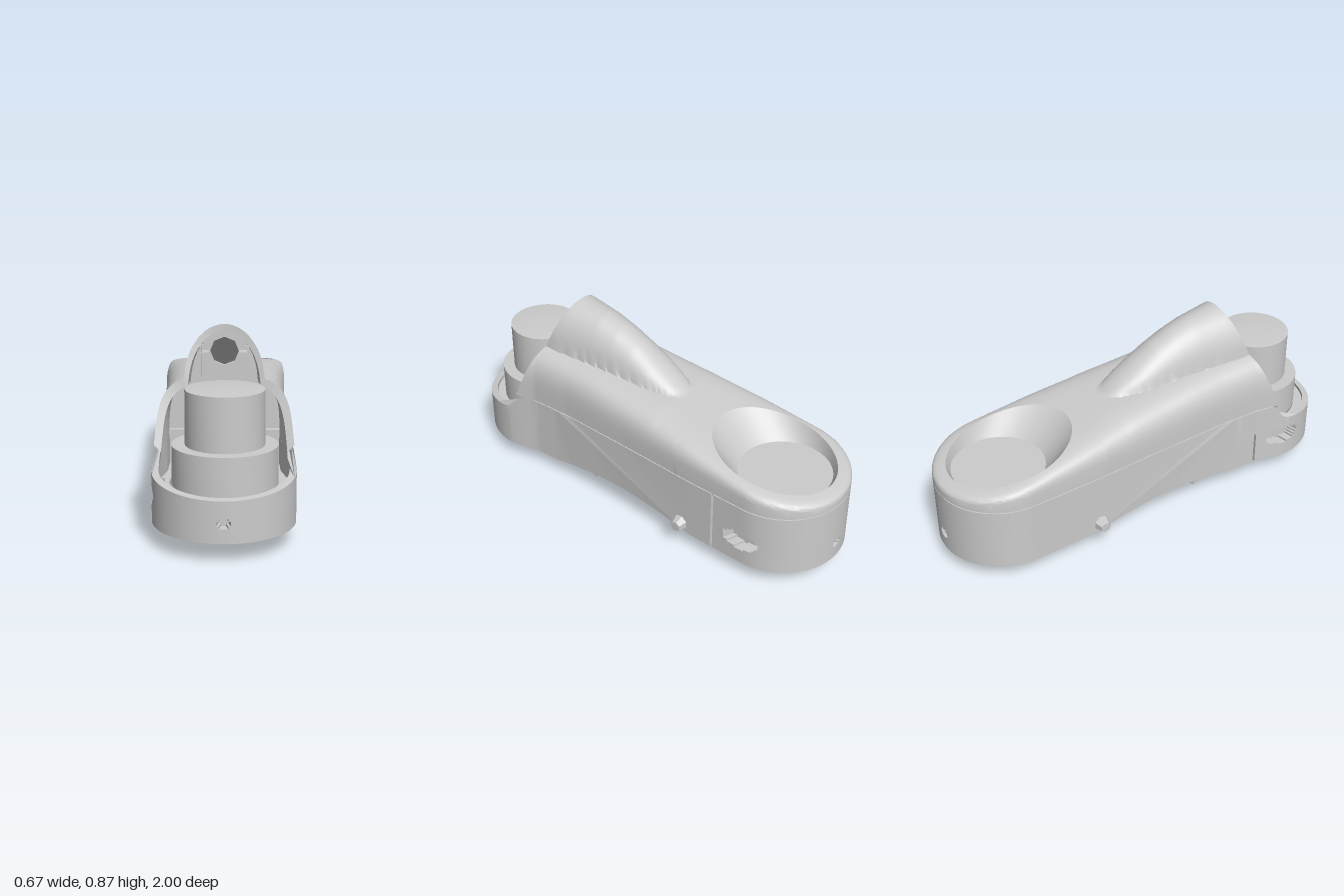
import * as THREE from 'three';
import { toCreasedNormals } from 'three/addons/utils/BufferGeometryUtils.js';

const material = new THREE.MeshStandardMaterial({ color: 0xcccccc, side: THREE.DoubleSide });

// Piecewise linear curve through [position, value] pairs
const curve = (pts) => (t) => {
  if (t <= pts[0][0]) return pts[0][1];
  for (let i = 1; i < pts.length; i++) {
    const [a, va] = pts[i - 1], [b, vb] = pts[i];
    if (t <= b) return va + (vb - va) * (t - a) / (b - a);
  }
  return pts[pts.length - 1][1];
};

const sideWidth = curve([[-0.7, 0.3], [-0.4, 0.295], [0, 0.275], [0.35, 0.262], [0.55, 0.268], [0.65, 0.292], [0.7, 0.3]]);
const halfWidth = (z) => Math.abs(z) > 0.7 ? Math.sqrt(Math.max(0, 0.09 - (Math.abs(z) - 0.7) ** 2)) : sideWidth(z);
const deckY = curve([[-1, 0.445], [-0.9, 0.462], [-0.5, 0.535], [-0.15, 0.6], [0.2, 0.637], [0.6, 0.665]]);
const humpY = curve([[-0.17, 0.597], [-0.1, 0.645], [0, 0.708], [0.1, 0.768], [0.2, 0.812], [0.3, 0.843], [0.46, 0.868]]);
const humpWidth = curve([[-0.17, 0], [-0.155, 0.04], [-0.12, 0.07], [-0.06, 0.095], [0, 0.11], [0.5, 0.168]]);
const roundness = curve([[-0.8, 7], [-0.2, 4.2], [0.6, 4]]);
const rimY = curve([[0.42, 0.385], [0.63, 0.385], [0.66, 0.335], [0.69, 0.308], [0.75, 0.297], [1, 0.26]]);
const SEAM = 0.39;

// How far a point lies towards the edge of the plan: 0 in the middle, 1 at the edge
const edgeness = (x, z) => z < -0.7 ? Math.hypot(x, z + 0.7) / 0.3 : Math.abs(x) / halfWidth(z);

// Height of the cover's outer surface
function coverY(x, z) {
  const n = roundness(z), u = Math.min(1, edgeness(x, z));
  const body = SEAM + (deckY(z) - SEAM) * Math.pow(1 - Math.pow(u, n), 1 / n);
  const a = humpWidth(z);
  if (Math.abs(x) >= a) return body;
  return body + Math.max(0, humpY(z) - deckY(z)) * Math.sqrt(1 - (x / a) ** 2);
}

function add(parent, name, geometry, x = 0, y = 0, z = 0) {
  const mesh = new THREE.Mesh(geometry, material);
  mesh.name = name;
  mesh.position.set(x, y, z);
  parent.add(mesh);
  return mesh;
}

// Surface through rows of points
function loft(rows, crease = 0.6) {
  const n = rows[0].length, index = [];
  for (let r = 0; r < rows.length - 1; r++)
    for (let c = 0; c < n - 1; c++) {
      const a = r * n + c, b = a + n;
      index.push(a, b, a + 1, a + 1, b, b + 1);
    }
  const g = new THREE.BufferGeometry();
  g.setAttribute('position', new THREE.Float32BufferAttribute(rows.flat(2), 3));
  g.setIndex(index);
  return toCreasedNormals(g, crease);
}

// Upright prism over a plan of [x, z] points
function prism(plan, y0, y1, holes = []) {
  const toV = (p) => new THREE.Vector2(p[0], -p[1]);
  const shape = new THREE.Shape(plan.map(toV));
  shape.holes = holes.map((h) => new THREE.Path(h.map(toV)));
  const g = new THREE.ExtrudeGeometry(shape, { depth: y1 - y0, bevelEnabled: false });
  g.rotateX(-Math.PI / 2).translate(0, y0, 0);
  return toCreasedNormals(g, 0.5);
}

const arc = (r, a0, a1, steps, cx = 0, cz = 0.7) => Array.from({ length: steps + 1 }, (_, i) => {
  const a = a0 + (a1 - a0) * i / steps;
  return [cx + r * Math.cos(a), cz + r * Math.sin(a)];
});

// Plan of one round end, facing +z; sign picks the front (1) or back (-1) widths
function endPlan(sign) {
  const side = Array.from({ length: 14 }, (_, i) => 0.42 + i * 0.02).map((z) => [halfWidth(sign * z), z]);
  return [...side, ...arc(0.3, 0, Math.PI, 96), ...side.map(([x, z]) => [-x, z]).reverse()];
}

// Clamping end: socket, split slot, side screw hole and small tip hole
function clampEnd(sign, top, holeSide) {
  const group = new THREE.Group();
  group.name = sign > 0 ? 'frontClamp' : 'backClamp';
  const socket = arc(0.225, 0, Math.PI * 2, 48).slice(0, -1);
  const groove = [...arc(0.257, 0.2, 2.75, 32), ...arc(0.245, 2.75, 0.2, 32)];
  const bore = arc(0.034, 0, Math.PI * 2, 16, holeSide * 0.2, 0.462).slice(0, -1);
  const ys = [0.085, ...Array.from({ length: 11 }, (_, i) => 0.145 + i * 0.0105), top];
  for (let i = 0; i < ys.length - 1; i++) {
    if (ys[i + 1] <= ys[i]) continue;
    const y = (ys[i] + ys[i + 1]) / 2;
    const hz = 0.085 * Math.sqrt(Math.max(0, 1 - ((y - 0.205) / 0.045) ** 2));
    const hx = 0.022 * Math.sqrt(Math.max(0, 1 - ((y - 0.165) / 0.021) ** 2));
    const plan = [];
    for (const [x, z] of endPlan(sign)) {
      if (x < 0 && Math.abs(z - 0.685) < hz) plan.push([-0.245, z]);
      else if (z > 0.9 && Math.abs(x) < hx) plan.push([x, z - 0.045]);
      else if (x < 0 && Math.abs(z - 0.54) < 0.001) plan.push([x, 0.541], [-0.17, 0.541], [-0.17, 0.529], [x, 0.529]);
      else plan.push([x, z]);
    }
    add(group, 'clampLayer', prism(plan, ys[i], ys[i + 1], i === 0 ? [socket, groove, bore] : [socket]));
  }
  if (sign < 0) group.rotation.y = Math.PI;
  return group;
}

export function createModel() {
  const model = new THREE.Group();
  model.name = 'clampArm';

  // Base: two clamps joined by an arched bridge
  const base = new THREE.Group();
  base.name = 'base';
  model.add(base);
  base.add(clampEnd(1, 0.25, 1), clampEnd(-1, 0.385, -1));
  const zs = Array.from({ length: 25 }, (_, i) => -0.42 + 0.035 * i);
  const archY = (z) => 0.085 + 0.045 * Math.cos(z / 0.42 * Math.PI / 2);
  const profile = [...zs.map((z) => [z, archY(z)]), ...zs.map((z) => [z, 0.385]).reverse()];
  const bridge = new THREE.ExtrudeGeometry(new THREE.Shape(profile.map((p) => new THREE.Vector2(...p))), { depth: 2, bevelEnabled: false });
  bridge.translate(0, 0, -1).rotateY(-Math.PI / 2);
  const bp = bridge.attributes.position;
  for (let i = 0; i < bp.count; i++) bp.setX(i, bp.getX(i) * halfWidth(bp.getZ(i)));
  add(base, 'bridge', toCreasedNormals(bridge, 0.5));

  // Raised rim around the knob
  const outer = endPlan(1);
  const inner = outer.map(([x, z]) => [x * 0.9, z > 0.7 ? 0.7 + (z - 0.7) * 0.9 : z]).reverse();
  const rim = prism([...outer, ...inner], 0.25, 0.4);
  const rp = rim.attributes.position;
  for (let i = 0; i < rp.count; i++) if (rp.getY(i) > 0.3) rp.setY(i, rimY(rp.getZ(i)));
  add(base, 'rim', toCreasedNormals(rim, 0.5));

  // Inset lip inside the seam, closing the back socket
  const lipSide = Array.from({ length: 24 }, (_, i) => 0.45 - i * 0.05).map((z) => [halfWidth(z) * 0.97, z]);
  const tailArc = arc(0.291, 0, -Math.PI, 48, 0, -0.7);
  add(base, 'seamLip', prism([...lipSide.slice(0, 23), ...tailArc, ...lipSide.slice(0, 23).map(([x, z]) => [-x, z]).reverse()], 0.37, 0.405));

  // Stepped knob, hollow below
  const knob = [[0, 0.36], [0.21, 0.36], [0.21, 0.25], [0.22, 0.25], [0.22, 0.415], [0.165, 0.415], [0.165, 0.645], [0, 0.66]];
  add(model, 'knob', toCreasedNormals(new THREE.LatheGeometry(knob.map((p) => new THREE.Vector2(...p)), 40), 0.5), 0.004, 0, 0.71);

  // Cover front: outer skin, slanted front edge and inner skin
  const cover = new THREE.Group();
  cover.name = 'cover';
  model.add(cover);
  const cols = Array.from({ length: 113 }, (_, i) => {
    const q = (i - 56) / 56;
    return Math.sign(q) * (1 - Math.pow(1 - Math.abs(q), 2.6));
  });
  const START = -0.32, frontZ = (y) => 0.65 - (y - SEAM) * 0.4;
  const ends = cols.map((v) => {
    let z = 0.55;
    for (let i = 0; i < 30; i++) z = (z + frontZ(coverY(v * halfWidth(z), z))) / 2;
    return z;
  });
  const skin = (k, inside) => cols.map((v, c) => {
    const z = START + (ends[c] - START) * k, x = v * halfWidth(z), y = coverY(x, z);
    return inside ? [x * 0.9, y - 0.03, z] : [x, y, z];
  });
  const rows = [];
  for (let i = 0; i <= 60; i++) rows.push(skin(i / 60, false));
  for (const k of [1, 0.95, 0.9, 0.85, 0.8]) rows.push(skin(k, true));
  add(cover, 'coverFront', loft(rows));

  // Bulkhead behind the opening, with a cable hole
  const BZ = 0.42;
  const wall = new THREE.Shape(cols.map((v) => {
    const x = v * halfWidth(BZ);
    return new THREE.Vector2(x * 0.92, Math.max(0.37, coverY(x, BZ) - 0.02));
  }));
  wall.holes.push(new THREE.Path(arc(0.062, 0, Math.PI * 2, 8, 0, 0.745).slice(0, -1).map((p) => new THREE.Vector2(...p))));
  add(cover, 'bulkhead', new THREE.ExtrudeGeometry(wall, { depth: 0.02, bevelEnabled: false }), 0, 0, BZ - 0.02);
  for (const s of [-1, 1]) {
    add(cover, 'innerLedge', new THREE.BoxGeometry(0.035, 0.008, 0.06), s * 0.08, 0.745, BZ + 0.03);
    add(cover, 'innerRib', new THREE.BoxGeometry(0.008, 0.15, 0.06), s * 0.1, 0.7, BZ + 0.03);
  }

  // Cover tail: loft from the dish floor over its lip to the outer edge
  const SPLIT = -0.3, N = 144;
  const reach = (c, s) => {
    let lo = 0, hi = 0.8;
    for (let i = 0; i < 30; i++) {
      const m = (lo + hi) / 2, z = -0.7 + s * m;
      if (z > SPLIT || edgeness(c * m, z) > 1) hi = m; else lo = m;
    }
    return lo;
  };
  const steps = [0, 0.2, 0.4, 0.55, 0.7, 0.8, 0.88, 0.94, 0.975, 0.992, 1];
  const tail = Array.from({ length: steps.length + 3 }, () => []);
  for (let i = 0; i <= N; i++) {
    const a = i / N * Math.PI * 2, c = Math.cos(a), s = Math.sin(a);
    const lip = [0.245 * c, -0.65 + 0.29 * s];
    const r = reach(c, s), edge = [c * r, -0.7 + s * r];
    tail[0].push([0, 0.42, -0.71]);
    tail[1].push([0.21 * c, 0.42, -0.71 + 0.21 * s]);
    steps.forEach((k, j) => {
      const x = lip[0] + (edge[0] - lip[0]) * k, z = lip[1] + (edge[1] - lip[1]) * k;
      tail[j + 2].push([x, coverY(x, z), z]);
    });
    const last = tail[steps.length + 1][i];
    tail[steps.length + 2].push(edge[1] > SPLIT - 0.001 ? last : [edge[0], SEAM, edge[1]]);
  }
  add(cover, 'coverTail', loft(tail));

  // Underside: curved foot, boss and side nubs
  const foot = [[-0.18, 0.24], [-0.1, 0.215], [0.1, 0.215], [0.18, 0.24], [0.165, 0.32], [0.08, 0.33], [-0.08, 0.33], [-0.165, 0.32]];
  add(model, 'foot', prism(foot, 0.015, 0.12));
  add(model, 'footPad', prism(foot.map(([x, z]) => [x * 0.92, 0.27 + (z - 0.27) * 0.8]), 0, 0.02));
  const boss = [[0.05, 0.14], [0.05, 0.115], [0.12, 0.115], [0.13, 0.14]].map((p) => new THREE.Vector2(...p));
  add(model, 'boss', toCreasedNormals(new THREE.LatheGeometry(boss, 8), 0.3), 0, 0, -0.12);
  for (const s of [-1, 1]) {
    const nub = new THREE.CylinderGeometry(0.025, 0.05, 0.08, 7);
    nub.rotateZ(-s * Math.PI / 2);
    add(model, 'sideNub', toCreasedNormals(nub, 0.3), s * 0.293, 0.13, -0.36);
  }
  return model;
}
